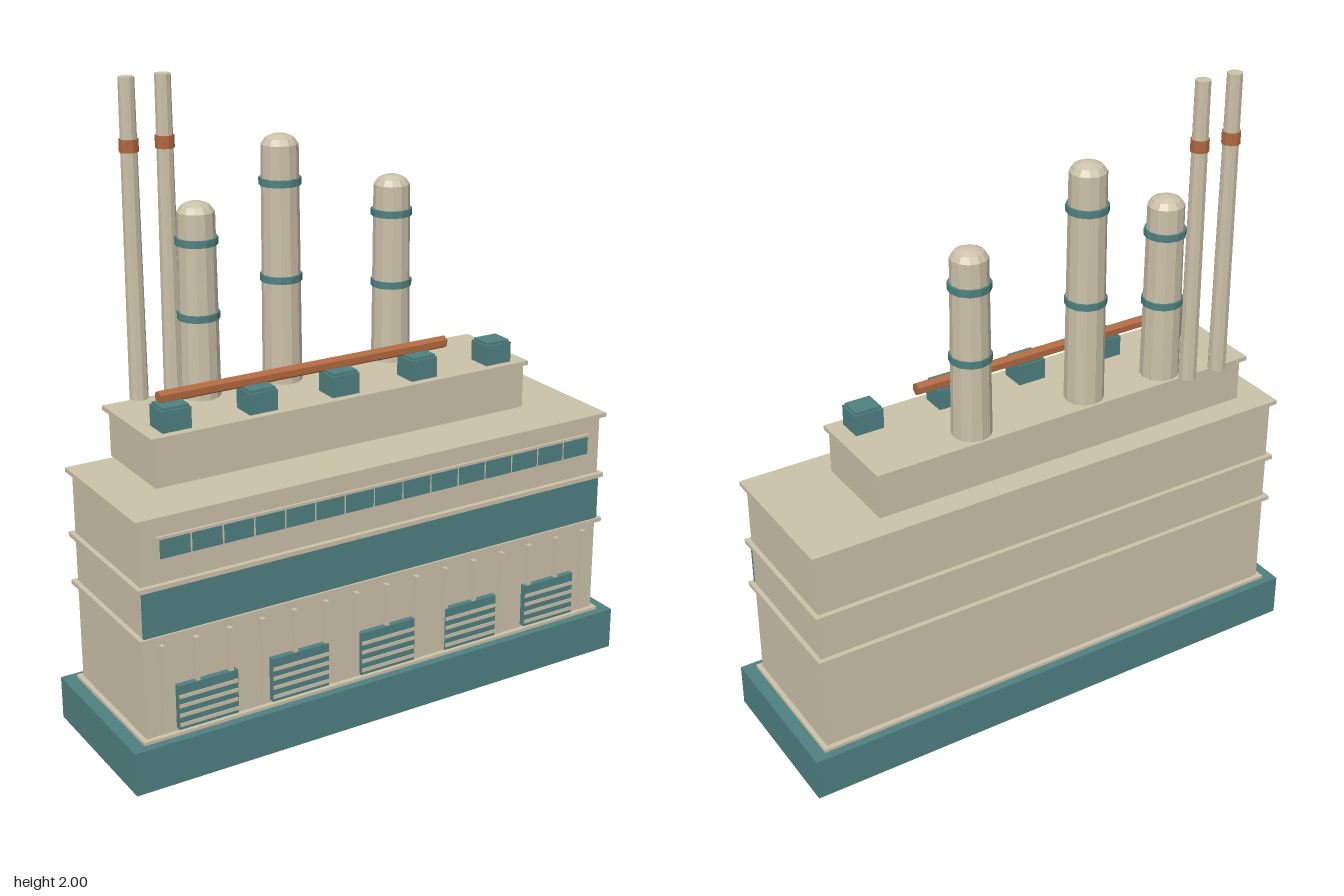
import * as THREE from 'three';

const mat = (name, color, opts = {}) => {
  const m = new THREE.MeshStandardMaterial({ color, ...opts });
  m.name = name;
  return m;
};

export function createModel() {
  const model = new THREE.Group();
  model.name = 'factory';
  const beige = mat('beige concrete', 0xcbc1a8, { flatShading: true });
  const teal = mat('teal paint', 0x4f8080, { flatShading: true });
  const copper = mat('copper', 0xb0683f, { flatShading: true });

  const add = (name, geometry, material, x, y, z, parent = model) => {
    const mesh = new THREE.Mesh(geometry, material);
    mesh.name = name;
    mesh.position.set(x, y, z);
    parent.add(mesh);
    return mesh;
  };
  // Box given by its centre in x and z and its bottom and top in y
  const box = (name, material, w, y0, y1, d, x = 0, z = 0, parent = model) =>
    add(name, new THREE.BoxGeometry(w, y1 - y0, d), material, x, (y0 + y1) / 2, z, parent);
  const group = (name, x = 0, y = 0, z = 0) => {
    const g = new THREE.Group();
    g.name = name;
    g.position.set(x, y, z);
    model.add(g);
    return g;
  };

  // Plinth, main hall and its ledges
  box('plinth', teal, 1.77, 0, 0.14, 0.54);
  box('mainHall', beige, 1.655, 0.14, 0.84, 0.454);
  for (const [y0, y1] of [[0.14, 0.15], [0.464, 0.478], [0.624, 0.638], [0.834, 0.848]]) {
    box('ledge', beige, 1.685, y0, y1, 0.486);
  }
  box('frontBand', teal, 1.655, 0.478, 0.624, 0.009, 0, 0.232);

  // Window strip
  const windows = group('windowStrip');
  box('windowFrame', beige, 1.555, 0.712, 0.786, 0.009, 0, 0.2365, windows);
  for (let i = 0; i < 15; i++) {
    box('windowPane', teal, 0.096, 0.72, 0.778, 0.004, (i - 7) * 0.103, 0.242, windows);
  }

  // Narrow pilasters on the ground floor
  for (let i = 0; i < 15; i++) {
    box('pilaster', beige, 0.013, 0.16, 0.445, 0.018, (i - 7) * 0.1102, 0.235);
  }

  // Slatted loading doors
  for (let i = -2; i <= 2; i++) {
    const door = group('loadingDoor', i * 0.315);
    box('doorPanel', teal, 0.198, 0.16, 0.304, 0.02, 0, 0.236, door);
    for (let k = 0; k < 4; k++) {
      const y = 0.176 + k * 0.031;
      box('doorSlat', beige, 0.194, y - 0.006, y + 0.006, 0.003, 0, 0.247, door);
    }
  }

  // Raised upper storey
  box('upperStorey', beige, 1.31, 0.875, 1.02, 0.307, -0.057, -0.043);
  box('upperRoof', beige, 1.335, 1.018, 1.032, 0.335, -0.058, -0.047);

  // Roof vents
  for (let i = 0; i < 5; i++) {
    const x = -0.63 + i * 0.285;
    box('roofVent', teal, 0.094, 1.032, 1.098, 0.082, x, 0.054);
    box('ventCap', teal, 0.084, 1.098, 1.106, 0.072, x, 0.054);
  }

  // Long pipe above the vents
  const pipe = add('roofPipe', new THREE.CylinderGeometry(0.02, 0.02, 1, 6), copper, -0.157, 1.118, 0.03);
  pipe.rotation.set(0, 0, Math.PI / 2);
  pipe.rotation.x = Math.PI / 2;

  // Domed silos with two bands each
  const silo = (x, top, bands) => {
    const g = group('silo', x, 0, -0.145);
    const points = [[0.062, 1.03], [0.057, top], [0.044, top + 0.018], [0.022, top + 0.028], [0, top + 0.031]];
    add('siloBody', new THREE.LatheGeometry(points.map(p => new THREE.Vector2(...p)), 12), beige, 0, 0, 0, g);
    for (const y of bands) {
      add('siloBand', new THREE.CylinderGeometry(0.065, 0.065, 0.022, 12), teal, 0, y, 0, g);
    }
  };
  silo(-0.43, 1.602, [1.515, 1.287]);
  silo(-0.145, 1.772, [1.66, 1.363]);
  silo(0.255, 1.602, [1.515, 1.287]);

  // Slender chimneys with a copper band
  for (const x of [-0.602, -0.487]) {
    const g = group('chimney', x, 0, -0.217);
    add('chimneyShaft', new THREE.CylinderGeometry(0.024, 0.029, 0.97, 10), beige, 0, 1.515, 0, g);
    add('chimneyBand', new THREE.CylinderGeometry(0.029, 0.029, 0.038, 10), copper, 0, 1.803, 0, g);
  }

  return model;
}
